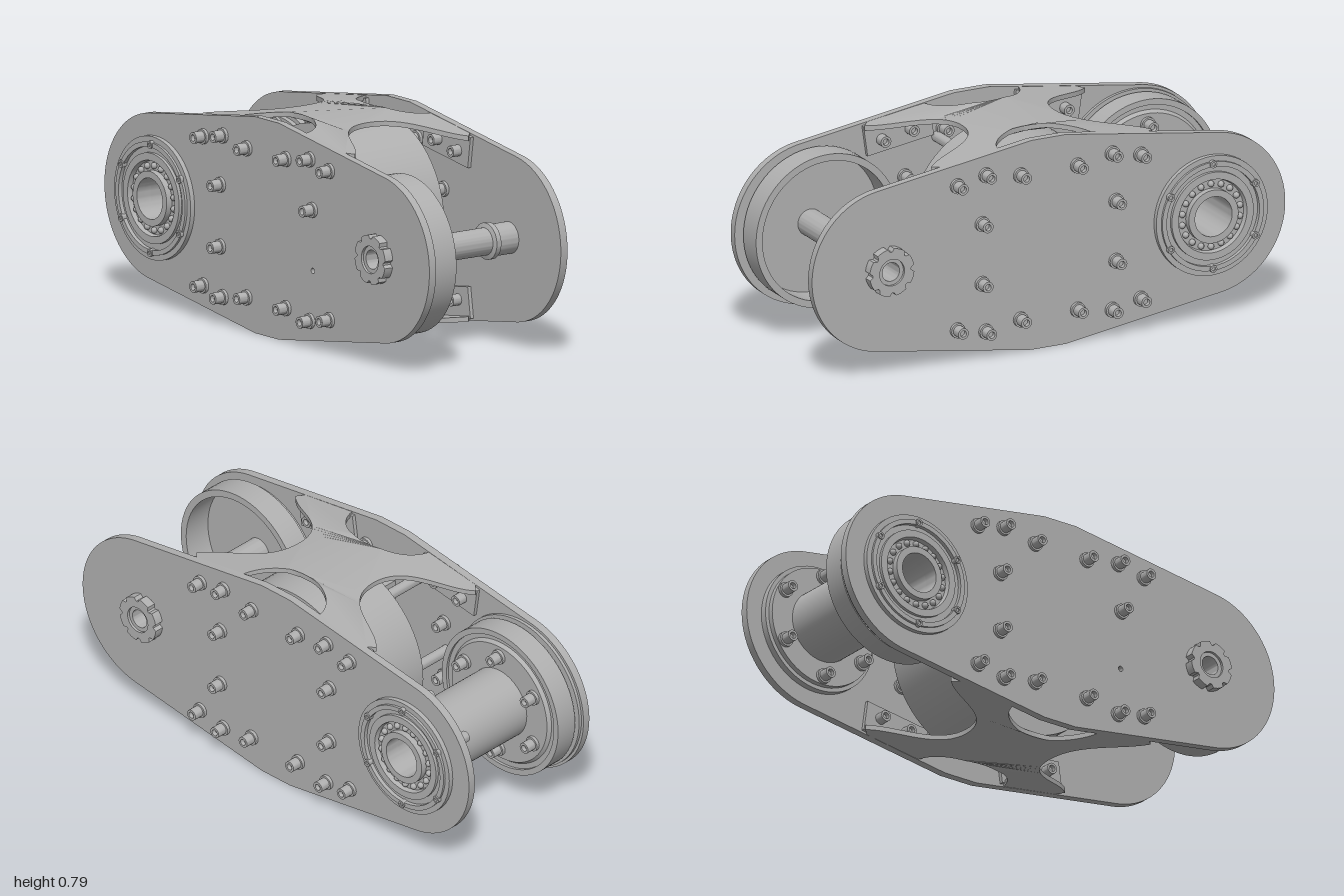
import * as THREE from 'three';
import { toCreasedNormals } from 'three/addons/utils/BufferGeometryUtils.js';

const H = 0.79, MID = H / 2, REACH = 0.65; // plate height, axle height, axle distance
const metal = new THREE.MeshStandardMaterial({ color: 0xb0b0b0 });
metal.name = 'greyMetal';

export function createModel() {
  const model = new THREE.Group();
  model.name = 'linkAssembly';
  const arm = new THREE.Group();
  arm.name = 'arm';
  arm.rotation.y = 0.299; // the link stands turned about the vertical
  model.add(arm);

  const add = (name, geo, x = 0, y = 0, z = 0, parent = arm) => {
    const m = new THREE.Mesh(geo, metal);
    m.name = name;
    m.position.set(x, y, z);
    parent.add(m);
    return m;
  };

  // Turned part whose axis runs across the link: profile of [radius, x]
  const turned = (profile, segs = 56) => toCreasedNormals(
    new THREE.LatheGeometry(profile.map(p => new THREE.Vector2(p[0], p[1])), segs).rotateZ(-Math.PI / 2), 0.6);
  const tube = (x0, x1, ro, ri, segs) =>
    turned([[ri, x0], [ro, x0], [ro, x1], [ri, x1], [ri, x0]], segs);

  // Flat shape drawn in the (-z, y) plane, given thickness across the link
  const slab = (shape, depth) => toCreasedNormals(
    new THREE.ExtrudeGeometry(shape, { depth, bevelEnabled: false, curveSegments: 28 })
      .rotateY(Math.PI / 2).translate(-depth / 2, 0, 0), 0.5);

  const circle = (x, y, r) => new THREE.Path().absarc(x, y, r, 0, Math.PI * 2, true);

  // Socket-head bolt with washer; side is the direction the head points
  const boltGeo = turned([[0, 0], [0.028, 0], [0.028, 0.012], [0.021, 0.012], [0.021, 0.05],
    [0.012, 0.05], [0.012, 0.034], [0, 0.034]], 18);
  const bolt = (name, side, x, y, z) => {
    const b = add(name, boltGeo, x, y, z);
    if (side < 0) b.rotation.y = Math.PI;
  };

  // Notched clamp nut outline
  const nut = new THREE.Shape();
  for (let i = 0; i < 64; i++) {
    const a = i / 64 * Math.PI * 2, r = i % 8 < 2 ? 0.077 : 0.09;
    nut[i ? 'lineTo' : 'moveTo'](r * Math.cos(a), r * Math.sin(a));
  }
  nut.closePath();
  nut.holes.push(circle(0, 0, 0.05));
  const nutGeo = slab(nut, 0.035);

  // Side plate: two round ends joined by slopes to a short flat crest
  const R = 0.305, t = 0.145;
  const plateGeo = side => {
    const s = new THREE.Shape();
    s.moveTo(0.07, H);
    s.lineTo(-0.07, H);
    s.absarc(-REACH, MID, R, Math.PI / 2 + t, Math.PI * 1.5 - t, false);
    s.lineTo(-0.07, 0);
    s.lineTo(0.07, 0);
    s.absarc(REACH, MID, R, -Math.PI / 2 + t, Math.PI / 2 - t, false);
    s.closePath();
    s.holes.push(circle(REACH, MID, 0.17), circle(-REACH, MID, 0.05));
    if (side < 0) s.holes.push(circle(-0.27, 0.285, 0.01));
    return slab(s, 0.03);
  };

  // Bearing on the outer face: stepped housing, cage, inner race
  const housing = turned([[0.125, -0.03], [0.225, 0], [0.225, 0.018], [0.205, 0.018], [0.205, 0.027],
    [0.187, 0.027], [0.187, 0.012], [0.165, 0.012], [0.165, 0.024], [0.138, 0.024], [0.125, -0.03]]);
  const race = tube(-0.03, 0.03, 0.1, 0.075);
  const cage = tube(-0.03, 0.006, 0.14, 0.095);
  const roller = new THREE.SphereGeometry(0.012, 10, 8);
  const screw = tube(0, 0.032, 0.014, 0.007, 14);

  for (const side of [-1, 1]) {
    const label = side > 0 ? 'left' : 'right';
    add(label + 'SidePlate', plateGeo(side), side * 0.295);
    add(label + 'AxleNut', nutGeo, side * 0.327, MID, REACH);

    const bearing = new THREE.Group();
    bearing.name = label + 'Bearing';
    bearing.position.set(side * 0.31, MID, -REACH);
    if (side < 0) bearing.rotation.y = Math.PI;
    arm.add(bearing);
    add('bearingHousing', housing, 0, 0, 0, bearing);
    add('bearingRace', race, 0, 0, 0, bearing);
    add('bearingCage', cage, 0, 0, 0, bearing);
    for (let i = 0; i < 18; i++) {
      const a = i / 18 * Math.PI * 2;
      add('bearingBall', roller, 0.01, 0.118 * Math.cos(a), 0.118 * Math.sin(a), bearing);
    }
    for (let i = 0; i < 6; i++) {
      const a = i / 6 * Math.PI * 2;
      add('housingScrew', screw, 0, 0.197 * Math.cos(a), 0.197 * Math.sin(a), bearing);
    }

    // Plate bolts outside, with their ends inside
    for (const end of [-1, 1]) {
      for (const [z, dy] of [[0.37, 0.272], [0.255, 0.295], [0.115, 0.272], [0.27, 0.113]]) {
        for (const up of [-1, 1]) {
          if (side < 0 && end > 0 && up < 0 && dy < 0.2) continue;
          bolt('plateBolt', side, side * 0.31, MID + up * dy, end * z);
          bolt('plateBoltEnd', -side, side * 0.28, MID + up * dy, end * z);
        }
      }
    }
  }

  // Cross brace: X-shaped sheet bent along the plate crest, with mounting tabs
  const x = new THREE.Shape();
  x.moveTo(0.28, 0.42);
  x.lineTo(0.255, 0.445);
  x.bezierCurveTo(0.17, 0.37, 0.17, 0.185, 0, 0.185);
  x.bezierCurveTo(-0.17, 0.185, -0.17, 0.37, -0.255, 0.445);
  x.lineTo(-0.28, 0.42);
  x.lineTo(-0.28, 0.19);
  x.bezierCurveTo(-0.19, 0.17, -0.15, 0.08, -0.15, 0);
  x.bezierCurveTo(-0.15, -0.08, -0.19, -0.17, -0.28, -0.19);
  x.lineTo(-0.28, -0.42);
  x.lineTo(-0.255, -0.445);
  x.bezierCurveTo(-0.17, -0.37, -0.17, -0.185, 0, -0.185);
  x.bezierCurveTo(0.17, -0.185, 0.17, -0.37, 0.255, -0.445);
  x.lineTo(0.28, -0.42);
  x.lineTo(0.28, -0.19);
  x.bezierCurveTo(0.19, -0.17, 0.15, -0.08, 0.15, 0);
  x.bezierCurveTo(0.15, 0.08, 0.19, 0.17, 0.28, 0.19);
  const sheet = new THREE.ExtrudeGeometry(x, { depth: 0.018, bevelEnabled: false, curveSegments: 18 })
    .rotateX(-Math.PI / 2);
  const p = sheet.attributes.position;
  for (let i = 0; i < p.count; i++) p.setY(i, p.getY(i) - 0.145 * Math.max(0, Math.abs(p.getZ(i)) - 0.07));
  const sheetGeo = toCreasedNormals(sheet, 0.5);
  const tabGeo = new THREE.BoxGeometry(0.014, 0.115, 0.27);
  for (const up of [1, -1]) {
    const brace = new THREE.Group();
    brace.name = up > 0 ? 'topBrace' : 'bottomBrace';
    brace.position.y = MID;
    if (up < 0) brace.rotation.x = Math.PI;
    arm.add(brace);
    add('braceSheet', sheetGeo, 0, MID - 0.02, 0, brace);
    for (const sx of [-1, 1]) for (const sz of [-1, 1]) {
      add('braceTab', tabGeo, sx * 0.273, 0.293, sz * 0.3, brace).rotation.x = sz * 0.144;
    }
  }

  // Central drum and the rods that hold it
  add('centralDrum', tube(-0.085, 0.22, 0.35, 0.06, 72), 0, MID, 0);
  add('drumMount', tube(0.22, 0.28, 0.18, 0.06), 0, MID, 0);
  const rod = tube(-0.285, -0.08, 0.02, 0.001, 18);
  for (let i = 0; i < 6; i++) {
    const a = i / 6 * Math.PI * 2;
    add('drumRod', rod, 0, MID + 0.28 * Math.sin(a), 0.28 * Math.cos(a));
  }

  // Small bracket with two upright bolts beside the drum
  add('bracket', new THREE.BoxGeometry(0.13, 0.03, 0.15), -0.215, 0.56, 0.05);
  add('bracketFoot', new THREE.BoxGeometry(0.02, 0.15, 0.15), -0.27, 0.5, 0.05);
  for (const z of [0.02, 0.085]) add('bracketBolt', boltGeo, -0.2, 0.575, z).rotation.z = Math.PI / 2;

  // Front axle with collar and thicker end, and the open guard ring
  add('frontAxle', turned([[0.035, -0.335], [0.05, -0.335], [0.05, 0.17], [0.067, 0.175], [0.067, 0.195],
    [0.058, 0.2], [0.058, 0.28], [0.05, 0.28], [0.05, 0.335], [0.035, 0.335], [0.035, -0.335]]), 0, MID, REACH);
  add('guardRing', turned([[0.262, -0.282], [0.275, -0.282], [0.275, -0.265], [0.288, -0.265],
    [0.288, -0.168], [0.262, -0.168], [0.262, -0.282]], 72), 0, MID, REACH - 0.01);

  // Rear hub, grooved pulley and end flange
  add('rearHub', tube(-0.31, 0.31, 0.135, 0.075), 0, MID, -REACH);
  add('rearPulley', turned([[0.13, -0.28], [0.295, -0.28], [0.295, -0.268], [0.27, -0.268], [0.27, -0.255],
    [0.287, -0.255], [0.287, -0.168], [0.265, -0.168], [0.265, -0.178], [0.245, -0.178],
    [0.235, -0.165], [0.13, -0.165], [0.13, -0.28]], 72), 0, MID, -REACH);
  add('rearFlange', turned([[0.13, 0.235], [0.225, 0.235], [0.225, 0.255], [0.24, 0.255],
    [0.24, 0.28], [0.13, 0.28], [0.13, 0.235]]), 0, MID, -REACH);
  for (let i = 0; i < 6; i++) {
    const a = i / 6 * Math.PI * 2;
    const y = MID + 0.195 * Math.cos(a), z = -REACH + 0.195 * Math.sin(a);
    bolt('pulleyBolt', 1, -0.165, y, z);
    bolt('flangeBolt', -1, 0.235, y, z);
  }
  return model;
}
